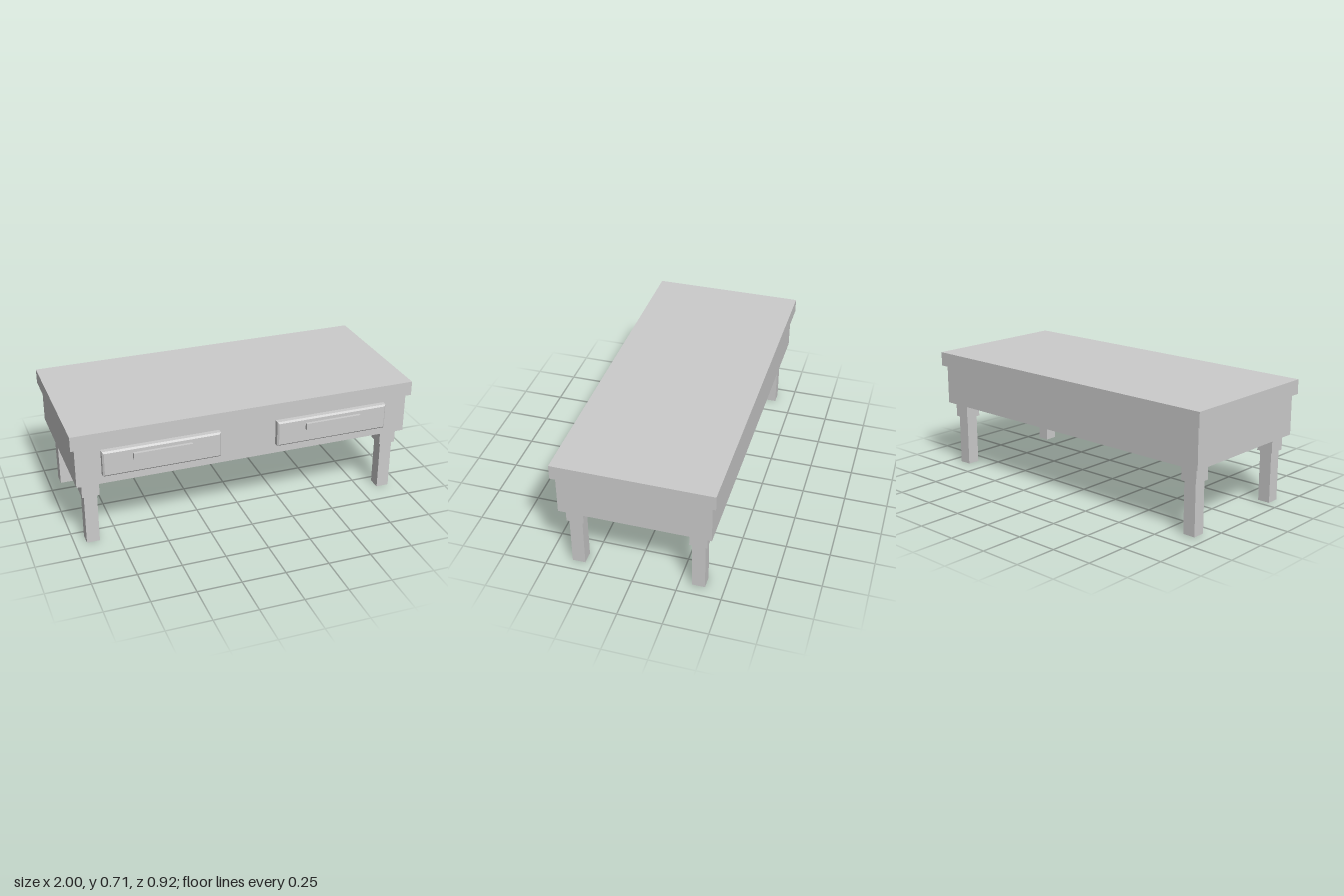
import * as THREE from 'three';

const material = new THREE.MeshStandardMaterial({ color: 0xcccccc });

// Box given by its lower and upper corners
function block(name, [x0, y0, z0], [x1, y1, z1]) {
  const mesh = new THREE.Mesh(new THREE.BoxGeometry(x1 - x0, y1 - y0, z1 - z0), material);
  mesh.position.set((x0 + x1) / 2, (y0 + y1) / 2, (z0 + z1) / 2);
  mesh.name = name;
  return mesh;
}

// Drawer front: a slab whose front edges are chamfered
function drawerPanel(width, height, depth, chamfer) {
  const geometry = new THREE.BoxGeometry(width, height, depth, 1, 1, 2);
  const p = geometry.attributes.position;
  for (let i = 0; i < p.count; i++) {
    const z = p.getZ(i);
    if (z > depth / 4) {
      p.setX(i, p.getX(i) - Math.sign(p.getX(i)) * chamfer);
      p.setY(i, p.getY(i) - Math.sign(p.getY(i)) * chamfer);
    } else if (z > -depth / 4) {
      p.setZ(i, depth / 2 - chamfer);
    }
  }
  const flat = geometry.toNonIndexed();
  flat.computeVertexNormals();
  const mesh = new THREE.Mesh(flat, material);
  mesh.name = 'drawerPanel';
  return mesh;
}

export function createModel() {
  const table = new THREE.Group();
  table.name = 'coffeeTable';

  // Overhanging top and the box below it
  table.add(block('tableTop', [-1, 0.624, -0.462], [1, 0.708, 0.43]));
  table.add(block('body', [-0.977, 0.388, -0.438], [0.977, 0.624, 0.408]));

  for (const side of [-1, 1]) {
    // Drawer with a bar handle
    const drawer = new THREE.Group();
    drawer.name = side > 0 ? 'leftDrawer' : 'rightDrawer';
    drawer.position.set(side * 0.501, 0, 0);
    const panel = drawerPanel(0.668, 0.149, 0.037, 0.009);
    panel.position.set(0, 0.52, 0.4265);
    drawer.add(panel, block('handle', [-0.166, 0.53, 0.445], [0.166, 0.567, 0.462]));
    table.add(drawer);

    // Legs: a wide collar over a slimmer post
    for (const z of [0.329, -0.357]) {
      const leg = new THREE.Group();
      leg.name = (z > 0 ? 'front' : 'back') + (side > 0 ? 'LeftLeg' : 'RightLeg');
      leg.position.set(side * 0.896, 0, z);
      leg.add(
        block('collar', [-0.049, 0.3, -0.049], [0.049, 0.388, 0.049]),
        block('post', [-0.037, 0, -0.037], [0.037, 0.3, 0.037])
      );
      table.add(leg);
    }
  }
  return table;
}
